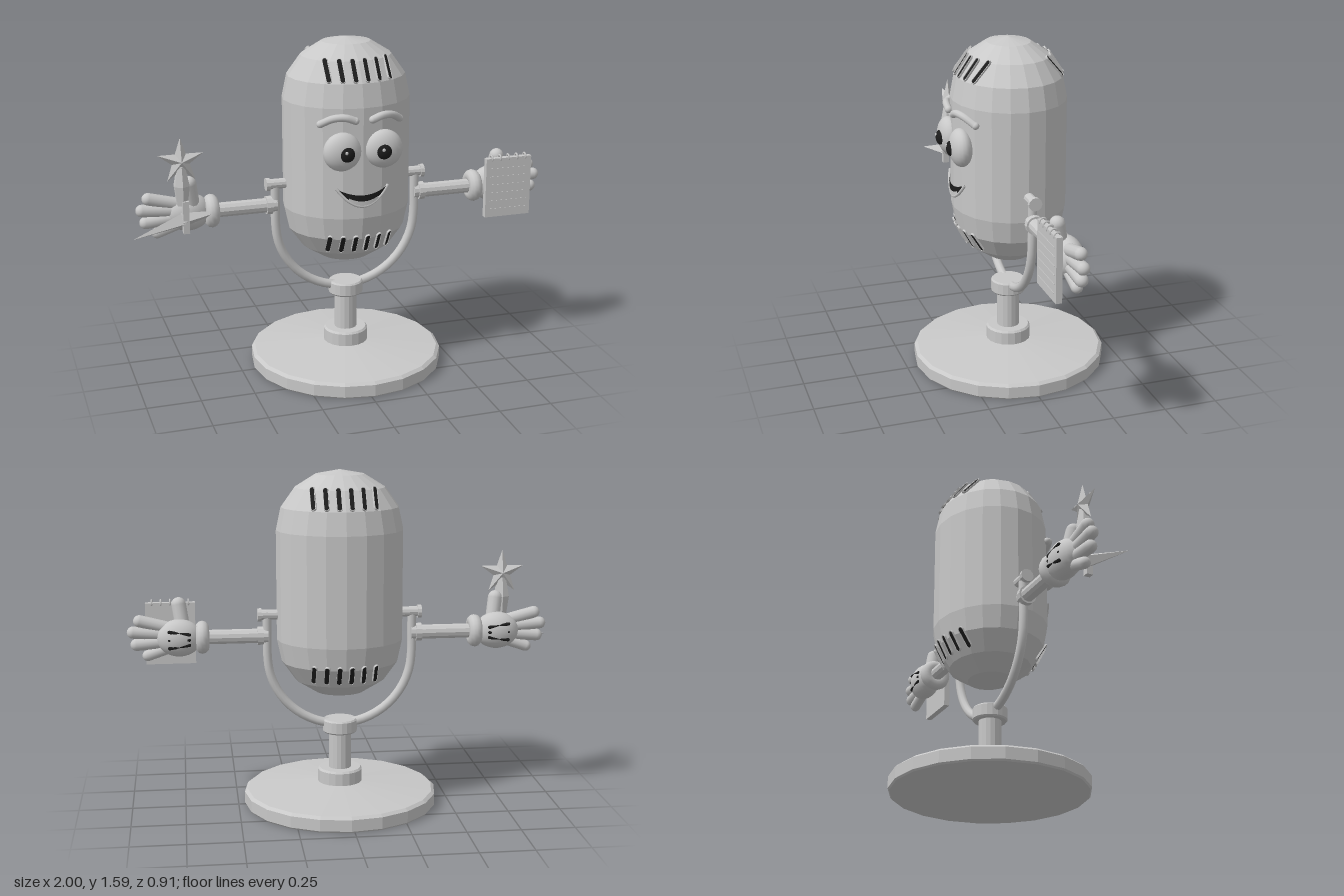
import * as THREE from 'three';

const grey = new THREE.MeshStandardMaterial({ color: 0xc8c8c8 });
grey.name = 'light grey';
const black = new THREE.MeshStandardMaterial({ color: 0x1c1c1c });
black.name = 'black';

const V = (x, y, z) => new THREE.Vector3(x, y, z);
const P = (x, y) => new THREE.Vector2(x, y);

// faceted normals for the low-poly parts
function flat(geo) {
  const g = geo.index ? geo.toNonIndexed() : geo;
  g.computeVertexNormals();
  return g;
}

function add(parent, name, geo, mat = grey, pos = [0, 0, 0]) {
  const m = new THREE.Mesh(geo, mat);
  m.name = name;
  m.position.set(...pos);
  parent.add(m);
  return m;
}

// aim a mesh's y axis from a to b and centre it between them
function between(mesh, a, b) {
  mesh.position.copy(a).add(b).multiplyScalar(0.5);
  mesh.quaternion.setFromUnitVectors(V(0, 1, 0), b.clone().sub(a).normalize());
  return mesh;
}
const rod = (parent, name, a, b, r0, r1 = r0, sides = 12, mat = grey) =>
  between(add(parent, name, flat(new THREE.CylinderGeometry(r1, r0, a.distanceTo(b), sides)), mat), a, b);
const finger = (parent, name, a, b, r, mat = grey) =>
  between(add(parent, name, new THREE.CapsuleGeometry(r, a.distanceTo(b), 5, 12), mat), a, b);

function ball(parent, name, pos, rx, ry, rz, mat = grey) {
  const m = add(parent, name, new THREE.SphereGeometry(1, 20, 14), mat, pos);
  m.scale.set(rx, ry, rz);
  return m;
}

// body: an elliptical capsule
const RX = 0.295, RZ = 0.263, LOW = 0.8, HIGH = 1.31, CAP = 0.275;
function fullness(y) {
  const d = Math.max(LOW - y, y - HIGH, 0) / CAP;
  return Math.sqrt(Math.max(0, 1 - d * d));
}
const surfaceZ = (x, y) => RZ * Math.sqrt(Math.max(0, fullness(y) ** 2 - (x / RX) ** 2));

function stadium(w, h, Type) {
  const s = new Type(), r = w / 2, k = h / 2 - r;
  s.absarc(0, k, r, 0, Math.PI, false);
  s.absarc(0, -k, r, Math.PI, Math.PI * 2, false);
  s.closePath();
  return s;
}

// rimmed vent slot lying on the body surface
function addSlot(parent, x, y0, y1, side) {
  const a = V(x, y0, side * surfaceZ(x, y0)), b = V(x, y1, side * surfaceZ(x, y1));
  const mid = a.clone().add(b).multiplyScalar(0.5);
  const up = b.clone().sub(a), len = up.length();
  up.normalize();
  const dy = mid.y > HIGH ? mid.y - HIGH : mid.y - LOW;
  const n = V(mid.x / RX ** 2, dy / CAP ** 2, mid.z / RZ ** 2);
  n.addScaledVector(up, -n.dot(up)).normalize();
  const slot = new THREE.Group();
  slot.name = 'ventSlot';
  slot.quaternion.setFromRotationMatrix(new THREE.Matrix4().makeBasis(up.clone().cross(n), up, n));
  slot.position.copy(mid);
  const rim = stadium(0.026, len + 0.006, THREE.Shape);
  rim.holes.push(stadium(0.02, len, THREE.Path));
  add(slot, 'slotRim', new THREE.ExtrudeGeometry(rim, { depth: 0.009, bevelEnabled: false, curveSegments: 5 }));
  add(slot, 'slotOpening', new THREE.ExtrudeGeometry(stadium(0.02, len, THREE.Shape),
    { depth: 0.006, bevelEnabled: false, curveSegments: 5 }), black);
  parent.add(slot);
}

// curved strip wrapped on the body front between two curves
function faceStrip(half, top, bottom, lift) {
  const pos = [], idx = [], n = 16;
  for (let i = 0; i <= n; i++) {
    const x = half * (2 * i / n - 1);
    for (const y of [bottom(x), top(x)]) pos.push(x, y, surfaceZ(x, y) + lift);
    if (i < n) idx.push(2 * i, 2 * i + 2, 2 * i + 1, 2 * i + 1, 2 * i + 2, 2 * i + 3);
  }
  const g = new THREE.BufferGeometry();
  g.setAttribute('position', new THREE.Float32BufferAttribute(pos, 3));
  g.setIndex(idx);
  g.computeVertexNormals();
  return g;
}

// five-pointed star with raised centres
function starGeometry(R, r, depth) {
  const pos = [];
  const pt = i => {
    const a = Math.PI / 2 + i * Math.PI / 5, q = i % 2 ? r : R;
    return [q * Math.cos(a), q * Math.sin(a), 0];
  };
  for (let i = 0; i < 10; i++) {
    pos.push(0, 0, depth, ...pt(i), ...pt(i + 1));
    pos.push(0, 0, -depth, ...pt(i + 1), ...pt(i));
  }
  const g = new THREE.BufferGeometry();
  g.setAttribute('position', new THREE.Float32BufferAttribute(pos, 3));
  g.computeVertexNormals();
  return g;
}

function addFace(g) {
  for (const s of [-1, 1]) {
    ball(g, 'eye', [s * 0.097, 1.118, 0.255], 0.088, 0.088, 0.052);
    ball(g, 'pupil', [s * 0.086, 1.115, 0.297], 0.035, 0.035, 0.022, black);
    ball(g, 'eyeGlint', [s * 0.086 - 0.008, 1.127, 0.316], 0.008, 0.008, 0.004);
    const brow = [V(s * 0.04, 1.258, 0.27), V(s * 0.085, 1.274, 0.268), V(s * 0.135, 1.27, 0.25), V(s * 0.185, 1.24, 0.212)];
    add(g, 'eyebrow', new THREE.TubeGeometry(new THREE.CatmullRomCurve3(brow), 14, 0.017, 10));
    for (const p of [brow[0], brow[3]]) ball(g, 'browEnd', p.toArray(), 0.017, 0.017, 0.017);
  }
  const W = 0.122;
  const low = x => 0.86 + 0.085 * (x / W) ** 2, high = x => 0.912 + 0.033 * (x / W) ** 2;
  add(g, 'mouth', faceStrip(W, high, low, 0.008), black);
  add(g, 'tongue', faceStrip(0.07, x => 0.885 + 0.018 * (x / 0.07) ** 2, x => low(x) + 0.004, 0.012));
  const lip = [];
  for (let i = -4; i <= 4; i++) {
    const x = i * W / 4, y = low(x);
    lip.push(V(x, y, surfaceZ(x, y) + 0.006));
  }
  add(g, 'lowerLip', new THREE.TubeGeometry(new THREE.CatmullRomCurve3(lip), 20, 0.007, 8));
}

// arm, cuff and gloved hand; s is the side
function addArm(root, s) {
  const g = new THREE.Group();
  g.name = s > 0 ? 'leftArm' : 'rightArm';
  const Y = 0.818;
  rod(g, 'armRod', V(s * 0.335, Y, 0), V(s * 0.66, Y, 0), 0.034);
  rod(g, 'armCollar', V(s * 0.358, Y, 0), V(s * 0.385, Y, 0), 0.043);
  const cuff = add(g, 'cuff', new THREE.TorusGeometry(0.045, 0.032, 12, 20), grey, [s * 0.64, Y, 0]);
  cuff.rotation.y = Math.PI / 2;
  ball(g, 'palm', [s * 0.745, 0.82, -0.01], 0.105, 0.087, 0.068);
  const tips = [[0.925, 0.9], [0.955, 0.848], [0.94, 0.79], [0.89, 0.738]];
  tips.forEach(([x, y], i) =>
    finger(g, 'finger', V(s * 0.79, 0.865 - i * 0.031, 0), V(s * x, y, 0), i === 3 ? 0.026 : 0.029));
  finger(g, 'thumb', V(s * 0.73, 0.87, 0.015), V(s * 0.745, 0.968, 0.035), 0.034);
  for (const k of [-1, 0, 1])
    finger(g, 'gloveLine', V(s * 0.7, 0.82 + k * 0.024, -0.066), V(s * 0.79, 0.82 + k * 0.038, -0.064), 0.008, black);
  root.add(g);
}

function addNotepad(root) {
  const g = new THREE.Group();
  g.name = 'notepad';
  add(g, 'pad', new THREE.BoxGeometry(0.23, 0.29, 0.028), grey, [0.785, 0.825, 0.081]);
  for (let i = 0; i < 6; i++)
    add(g, 'ruledLine', new THREE.BoxGeometry(0.19, 0.004, 0.004), grey, [0.785, 0.72 + i * 0.04, 0.095]);
  for (let i = 0; i < 5; i++) {
    const ring = add(g, 'bindingRing', new THREE.TorusGeometry(0.014, 0.005, 6, 12), grey, [0.7 + i * 0.0425, 0.968, 0.081]);
    ring.rotation.y = Math.PI / 2;
  }
  root.add(g);
}

function addStarAward(root) {
  const g = new THREE.Group();
  g.name = 'starAward';
  const x = -0.783, z = 0.065;
  add(g, 'star', starGeometry(0.108, 0.042, 0.028), grey, [x, 1.082, z]);
  rod(g, 'neck', V(x, 0.97, z), V(x, 1.06, z), 0.038, 0.02, 6);
  rod(g, 'grip', V(x, 0.88, z), V(x, 0.97, z), 0.026, 0.038, 6);
  add(g, 'stem', new THREE.BoxGeometry(0.028, 0.15, 0.03), grey, [x + 0.01, 0.828, 0.085]);
  rod(g, 'spike', V(-0.79, 0.81, 0.07), V(-1.015, 0.765, 0.135), 0.036, 0.001, 4);
  rod(g, 'spikeTail', V(-0.66, 0.825, 0.06), V(-0.79, 0.81, 0.07), 0.012, 0.036, 4);
  root.add(g);
}

export function createModel() {
  const root = new THREE.Group();
  root.name = 'microphoneFigure';
  const g = new THREE.Group();
  g.name = 'figure';
  g.position.x = 0.015;
  root.add(g);

  // stand
  const lathe = (name, pts, sides = 20) => add(g, name, flat(new THREE.LatheGeometry(pts.map(p => P(...p)), sides)));
  lathe('base', [[0, 0], [0.448, 0], [0.455, 0.008], [0.455, 0.062], [0.44, 0.074], [0.1, 0.105], [0, 0.105]]);
  lathe('lowerCollar', [[0.105, 0.095], [0.105, 0.163], [0.097, 0.172], [0, 0.172]]);
  lathe('post', [[0.053, 0.165], [0.053, 0.36]], 16);
  lathe('upperCollar', [[0, 0.345], [0.075, 0.345], [0.081, 0.352], [0.081, 0.403], [0.075, 0.41], [0, 0.41]]);

  // yoke
  const path = [V(-0.34, 0.93, 0), V(-0.34, 0.83, 0)];
  for (let i = 0; i <= 12; i++) {
    const a = Math.PI * (1 + i / 12);
    path.push(V(0.34 * Math.cos(a), 0.725 + 0.34 * Math.sin(a), 0));
  }
  path.push(V(0.34, 0.83, 0), V(0.34, 0.93, 0));
  add(g, 'yoke', new THREE.TubeGeometry(new THREE.CatmullRomCurve3(path), 40, 0.021, 10));
  for (const s of [-1, 1]) {
    rod(g, 'pivotPin', V(s * 0.26, 0.917, 0), V(s * 0.37, 0.917, 0), 0.024);
    rod(g, 'pivotCap', V(s * 0.366, 0.917, 0), V(s * 0.384, 0.917, 0), 0.031);
    addArm(g, s);
  }

  // body
  const profile = [];
  for (let i = 0; i <= 4; i++) {
    const a = i * Math.PI / 8;
    profile.push(P(RX * Math.sin(a), LOW - CAP * Math.cos(a)));
  }
  for (let i = 4; i >= 0; i--) {
    const a = i * Math.PI / 8;
    profile.push(P(RX * Math.sin(a), HIGH + CAP * Math.cos(a)));
  }
  const bodyGeo = new THREE.LatheGeometry(profile, 20);
  bodyGeo.scale(1, 1, RZ / RX);
  add(g, 'body', flat(bodyGeo));
  for (const side of [-1, 1])
    for (let i = 0; i < 6; i++) {
      const x = (i - 2.5) * 0.0555;
      addSlot(g, x, 1.42, 1.512, side);
      addSlot(g, x, 0.628, 0.715, side);
    }

  addFace(g);
  addNotepad(g);
  addStarAward(g);
  return root;
}
